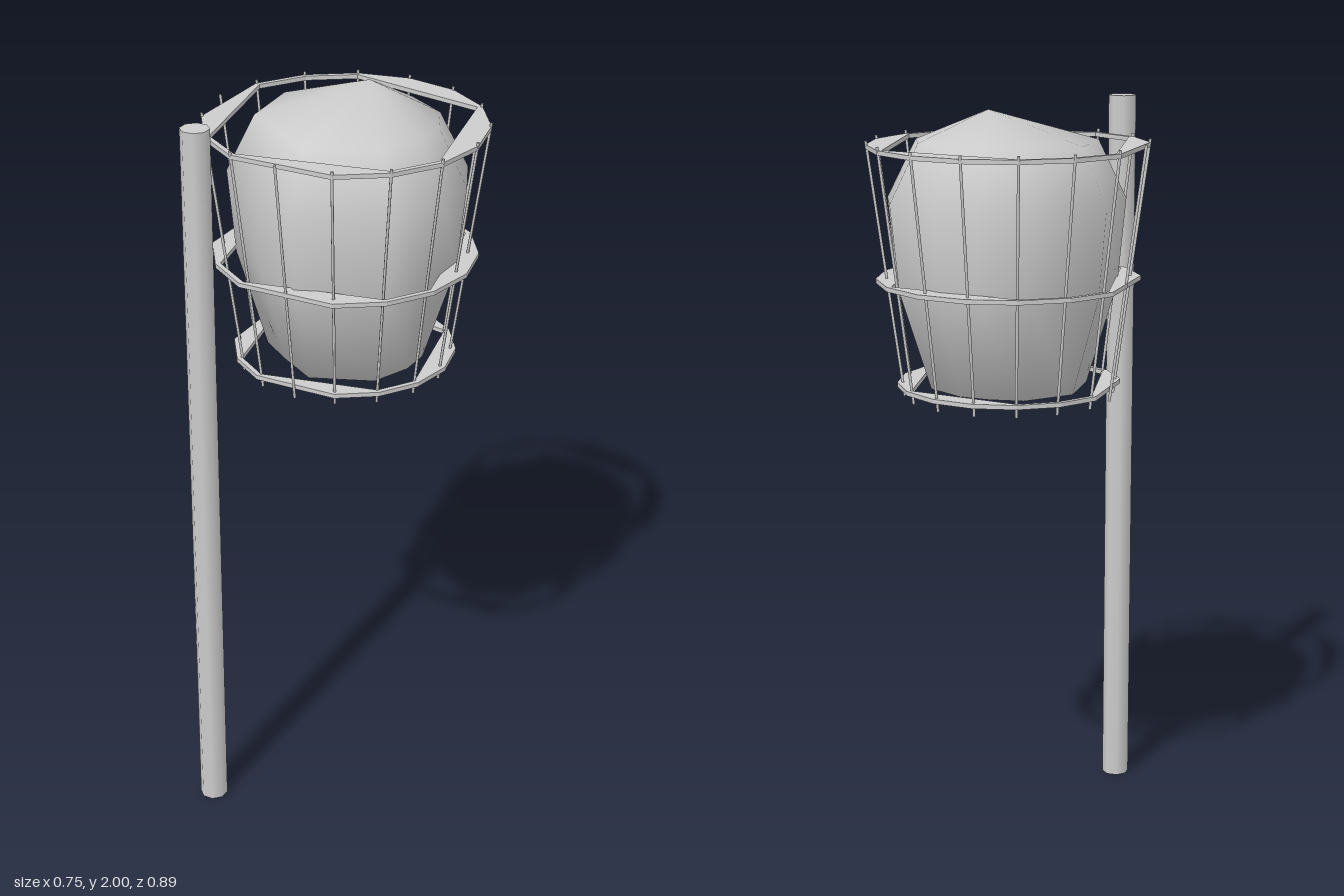
import * as THREE from 'three';

const steel = new THREE.MeshStandardMaterial({ color: 0xcccccc });
steel.name = 'grey';

const CENTRE_Z = -0.07;
const SIDES = 16;

function add(parent, name, geometry) {
  const mesh = new THREE.Mesh(geometry, steel);
  mesh.name = name;
  parent.add(mesh);
  return mesh;
}

// corner of the basket, counted from +x towards the front
function corner(k, radius) {
  const a = (k / SIDES) * Math.PI * 2;
  return new THREE.Vector2(radius * Math.cos(a), CENTRE_Z + radius * Math.sin(a));
}

// flat hoop whose simplified hole leaves wide plates on four sides
function hoopGeometry(radius) {
  const outer = [0, 1, 2, 4, 5, 6, 8, 9, 10, 11, 12, 13, 14, 15];
  const inner = [0, 1, 4, 5, 8, 9, 10, 13];
  const shape = new THREE.Shape(outer.map((k) => corner(k, radius)));
  shape.holes.push(new THREE.Path(inner.map((k) => corner(k, radius - 0.014))));
  const geometry = new THREE.ExtrudeGeometry(shape, { depth: 0.012, bevelEnabled: false });
  return geometry.rotateX(Math.PI / 2);
}

// thin straight rod between two points
function addRod(parent, from, to) {
  const dir = to.clone().sub(from);
  const rod = add(parent, 'rod', new THREE.CylinderGeometry(0.004, 0.004, dir.length(), 5));
  rod.position.copy(from).add(to).multiplyScalar(0.5);
  rod.quaternion.setFromUnitVectors(new THREE.Vector3(0, 1, 0), dir.normalize());
}

// bulging bag: one irregular outline scaled at several heights, closed at both ends
function bagGeometry() {
  const outline = [
    [0.315, 0.04], [0.13, 0.22], [-0.05, 0.19], [-0.22, 0.15], [-0.33, -0.07], [-0.26, -0.28],
    [-0.14, -0.35], [-0.02, -0.385], [0.16, -0.355], [0.27, -0.25], [0.315, -0.13],
  ];
  const levels = [[1.265, 0.67], [1.53, 0.93], [1.76, 1], [1.915, 0.76]]; // height, scale
  const n = outline.length;
  const points = [];
  const faces = [];
  for (const [y, s] of levels) {
    for (const [x, z] of outline) points.push(x * s, y, CENTRE_Z + (z - CENTRE_Z) * s);
  }
  const bottom = levels.length * n;
  const top = bottom + 1;
  points.push(0, 1.27, CENTRE_Z, 0, 2, -0.15);
  for (let i = 0; i < n; i++) {
    const j = (i + 1) % n;
    for (let l = 0; l < levels.length - 1; l++) {
      const a = l * n;
      const b = a + n;
      faces.push(a + i, b + i, b + j, a + i, b + j, a + j);
    }
    const last = (levels.length - 1) * n;
    faces.push(bottom, i, j, top, last + j, last + i);
  }
  const geometry = new THREE.BufferGeometry();
  geometry.setAttribute('position', new THREE.Float32BufferAttribute(points, 3));
  geometry.setIndex(faces);
  geometry.computeVertexNormals();
  return geometry;
}

export function createModel() {
  const model = new THREE.Group();
  model.name = 'basketOnPole';

  // upright pole in front of the basket
  const pole = add(model, 'pole', new THREE.CylinderGeometry(0.038, 0.038, 2, 8));
  pole.position.set(0, 1, 0.407);

  // wire basket: three hoops and sixteen leaning rods
  const basket = new THREE.Group();
  basket.name = 'basket';
  model.add(basket);
  for (const [name, y, radius] of [
    ['topHoop', 1.906, 0.374], ['middleHoop', 1.553, 0.353], ['bottomHoop', 1.272, 0.3],
  ]) {
    add(basket, name, hoopGeometry(radius)).position.y = y;
  }
  for (let k = 0; k < SIDES; k++) {
    const low = corner(k, 0.28);
    const high = corner(k, 0.373);
    addRod(basket, new THREE.Vector3(low.x, 1.235, low.y), new THREE.Vector3(high.x, 1.915, high.y));
  }

  // bag inside the basket
  add(model, 'bag', bagGeometry());
  return model;
}
